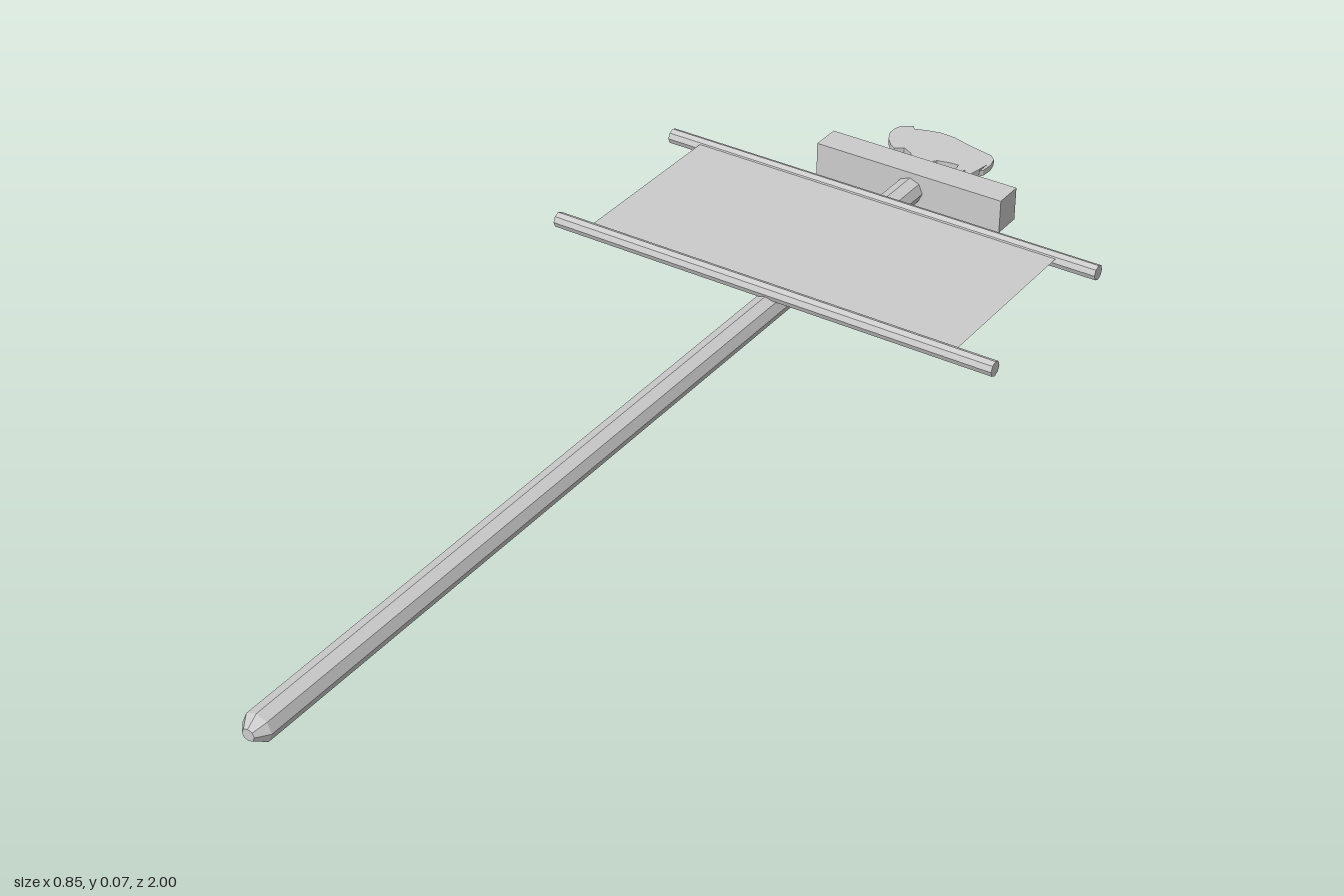
import * as THREE from 'three';

const grey = new THREE.MeshStandardMaterial({ color: 0xcccccc, flatShading: true });
const greySheet = new THREE.MeshStandardMaterial({ color: 0xcccccc, side: THREE.DoubleSide });

function addPart(group, name, geometry, x, y, z, material = grey) {
  const mesh = new THREE.Mesh(geometry, material);
  mesh.name = name;
  mesh.position.set(x, y, z);
  group.add(mesh);
  return mesh;
}

export function createModel() {
  const model = new THREE.Group();
  model.name = 'standard';

  // Long faceted pole with a bevelled butt end
  const profile = [[0, -0.82], [0.026, -0.82], [0.026, 0.98], [0.011, 1], [0, 1]]
    .map(([r, z]) => new THREE.Vector2(r, z));
  const pole = new THREE.LatheGeometry(profile, 8);
  pole.rotateX(Math.PI / 2);
  pole.scale(1, 0.94, 1);
  addPart(model, 'pole', pole, 0, 0.028, 0);

  // Two crossbars that hold the banner
  for (const [name, z] of [['upperCrossbar', -0.7], ['lowerCrossbar', -0.345]]) {
    const bar = new THREE.CylinderGeometry(0.0138, 0.0138, 0.85, 8);
    bar.rotateZ(Math.PI / 2);
    addPart(model, name, bar, 0, 0.057, z);
  }

  // Thin banner cloth
  const cloth = new THREE.PlaneGeometry(0.71, 0.355);
  cloth.rotateX(-Math.PI / 2);
  addPart(model, 'banner', cloth, -0.005, 0.064, -0.5225, greySheet);

  // Block at the head of the pole
  addPart(model, 'headBlock', new THREE.BoxGeometry(0.37, 0.063, 0.056), -0.005, 0.0315, -0.838);

  // Flat bison finial, outlined from the horn clockwise
  const outline = [
    [-0.117, 0.982], [-0.098, 0.994], [-0.092, 0.986], [-0.07, 0.994], [-0.045, 1],
    [-0.015, 0.998], [0.012, 0.99], [0.04, 0.983], [0.07, 0.977], [0.082, 0.966],
    [0.087, 0.945], [0.085, 0.922], [0.08, 0.915], [0.081, 0.945], [0.077, 0.92],
    [0.073, 0.9], [0.078, 0.865], [0.064, 0.865], [0.066, 0.885], [0.058, 0.905],
    [0.051, 0.888], [0.053, 0.87], [0.039, 0.87], [0.042, 0.89], [0.04, 0.914],
    [0.02, 0.912], [0, 0.907], [-0.008, 0.896], [-0.011, 0.88], [-0.012, 0.865],
    [-0.03, 0.865], [-0.024, 0.876], [-0.026, 0.892], [-0.033, 0.878], [-0.046, 0.874],
    [-0.042, 0.89], [-0.053, 0.905], [-0.072, 0.915], [-0.086, 0.904], [-0.098, 0.912],
    [-0.112, 0.928], [-0.122, 0.95], [-0.122, 0.968],
  ].map(([x, y]) => new THREE.Vector2(x, y));
  const bison = new THREE.ExtrudeGeometry(new THREE.Shape(outline), { depth: 0.011, bevelEnabled: false });
  bison.rotateX(-Math.PI / 2);
  addPart(model, 'bisonFinial', bison, 0, 0.031, 0);

  return model;
}
